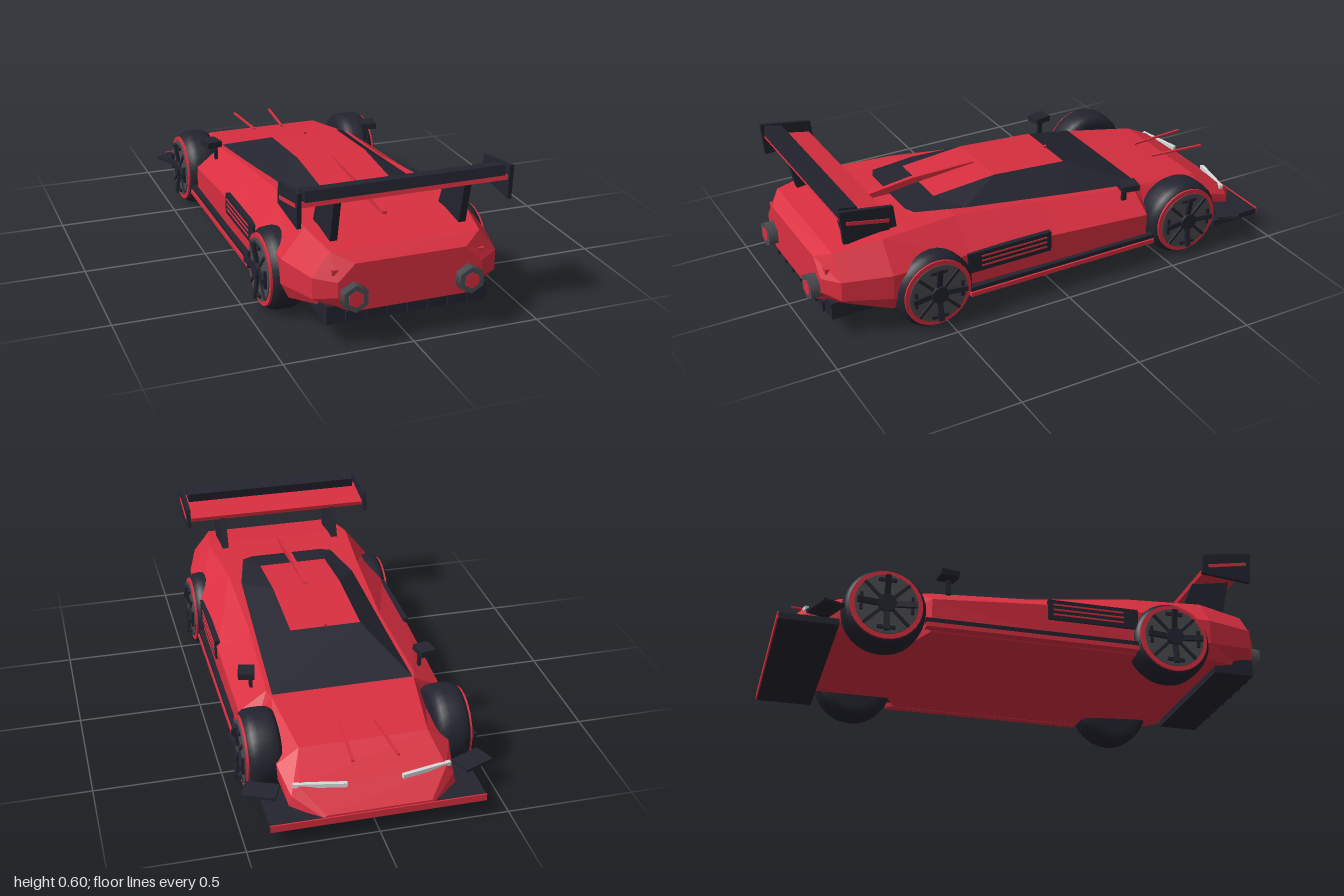
import * as THREE from 'three';

const mat = (name, color, side = THREE.DoubleSide) => {
  const m = new THREE.MeshStandardMaterial({ color, side });
  m.name = name;
  return m;
};

export function createModel() {
  const car = new THREE.Group();
  car.name = 'raceCar';
  const red = mat('red paint', 0xd92f40);
  const black = mat('black trim', 0x23242f);
  const grey = mat('dark grey metal', 0x4b4c50);
  const white = mat('lamp white', 0xd8dadb);

  const add = (name, geo, m, x = 0, y = 0, z = 0, parent = car) => {
    const mesh = new THREE.Mesh(geo, m);
    mesh.name = name;
    mesh.position.set(x, y, z);
    parent.add(mesh);
    return mesh;
  };
  const box = (name, m, w, h, d, x, y, z, parent) =>
    add(name, new THREE.BoxGeometry(w, h, d), m, x, y, z, parent);
  // Faceted surface from triangles of points
  const facets = (tris) => {
    const g = new THREE.BufferGeometry();
    g.setAttribute('position', new THREE.Float32BufferAttribute(tris.flat(2), 3));
    g.computeVertexNormals();
    return g;
  };
  // Plate with a side outline in (z, y), of thickness w along x
  const sidePlate = (name, m, pts, w, x) => {
    const shape = new THREE.Shape(pts.map(([z, y]) => new THREE.Vector2(-z, y)));
    const g = new THREE.ExtrudeGeometry(shape, { depth: w, bevelEnabled: false });
    g.translate(0, 0, -w / 2).rotateY(Math.PI / 2);
    return add(name, g, m, x);
  };

  // Body: lofted half sections, floor edge, lower side, waist, deck edge
  const stations = [
    [0.96, [.22, .14], [.28, .20], [.28, .26], [.215, .325]],
    [0.91, [.28, .14], [.36, .19], [.36, .27], [.29, .36]],
    [0.72, [.38, .11], [.41, .17], [.41, .27], [.32, .385]],
    [0.40, [.39, .09], [.41, .14], [.41, .27], [.29, .383]],
    [0.00, [.39, .09], [.41, .13], [.413, .25], [.28, .335]],
    [-0.42, [.39, .09], [.41, .13], [.41, .22], [.30, .298]],
    [-0.46, [.30, .09], [.32, .13], [.335, .22], [.287, .294]],
    [-0.76, [.30, .09], [.33, .12], [.335, .19], [.25, .252]],
    [-0.90, [.28, .08], [.32, .10], [.31, .14], [.28, .175]],
    [-0.99, [.20, .08], [.21, .085], [.21, .09], [.20, .10]],
  ];
  const rings = stations.map(([z, ...half]) => [
    ...half.map(([x, y]) => [x, y, z]),
    ...half.slice().reverse().map(([x, y]) => [-x, y, z]),
  ]);
  const skin = [];
  const n = 8, last = rings[rings.length - 1];
  for (let i = 0; i < rings.length - 1; i++) {
    const a = rings[i], c = rings[i + 1];
    for (let j = 0; j < n; j++) {
      const k = (j + 1) % n;
      skin.push([a[j], c[j], a[k]], [a[k], c[j], c[k]]);
    }
  }
  for (let j = 1; j < n - 1; j++) {
    skin.push([rings[0][0], rings[0][j], rings[0][j + 1]], [last[0], last[j + 1], last[j]]);
  }
  add('body', facets(skin), red);

  // Cabin: dark glass around a red roof
  const base = [[.283, .299, -.455], [.268, .329, -.13], [.247, .379, .33], [.2, .389, .53], [.155, .389, .55]];
  const roof = [[.145, .41, -.175], [.145, .43, .15], [.145, .405, .42]];
  const flip = ([x, y, z]) => [-x, y, z];
  const quad = (a, b, c, d) => [[a, b, c], [a, c, d]];
  const [b0, b1, b2, b3, b4] = base, [r0, r1, r2] = roof;
  const sideGlass = [
    [b0, r0, b1], ...quad(b1, r0, r1, b2), ...quad(b2, r1, r2, b3), [b3, r2, b4],
  ];
  add('sideGlassLeft', facets(sideGlass), black);
  add('sideGlassRight', facets(sideGlass.map(([a, b, c]) => [flip(a), flip(c), flip(b)])), black);
  add('windscreen', facets(quad(b0, flip(b0), flip(r0), r0)), black);
  add('rearWindow', facets(quad(b4, r2, flip(r2), flip(b4))), black);
  add('roof', facets([...quad(r0, flip(r0), flip(r1), r1), ...quad(r1, flip(r1), flip(r2), r2)]), red);
  sidePlate('dorsalFin', red, [[.17, .425], [.17, .433], [.45, .428], [.71, .395], [.71, .375], [.42, .39]], .018, 0);
  box('roofAerial', red, .012, .015, .012, 0, .412, -.17);

  // Front splitter with a red leading edge
  box('splitter', black, .82, .025, .225, 0, .08, -.882);
  box('splitterEdge', red, .82, .028, .006, 0, .082, -.997);

  // Rear diffuser and its fins
  box('diffuser', black, .63, .07, .165, 0, .125, .855);
  for (let i = -3; i <= 3; i++) box('diffuserFin', black, .008, .045, .012, i * .08, .112, .94);

  // Rear wing
  const tilt = -Math.atan2(.035, .19);
  box('wingPlane', red, .82, .018, .19, 0, .532, .813).rotation.x = tilt;
  box('wingFlap', black, .77, .04, .07, 0, .574, .876).rotation.x = tilt;

  // Wheel: tyre, red rim band, grey disc and raised spokes, facing +x
  const tyreProfile = [[0, -.068], [.12, -.068], [.145, -.062], [.157, -.045], [.16, -.015],
    [.16, .02], [.157, .045], [.145, .062], [.135, .066], [0, .066]].map((p) => new THREE.Vector2(...p));
  const makeWheel = (s, z) => {
    const wheel = new THREE.Group();
    wheel.name = 'wheel';
    wheel.position.set(s * .368, .16, z);
    if (s < 0) wheel.rotation.y = Math.PI;
    add('tyre', new THREE.LatheGeometry(tyreProfile, 32), black, 0, 0, 0, wheel).rotation.z = -Math.PI / 2;
    const disc = (name, r, w, m, x) =>
      (add(name, new THREE.CylinderGeometry(r, r, w, 32), m, x, 0, 0, wheel).rotation.z = -Math.PI / 2);
    disc('rimBand', .14, .012, red, .066);
    disc('rimDisc', .122, .012, grey, .07);
    disc('hub', .035, .03, black, .078);
    for (let i = 0; i < 4; i++) {
      const spoke = new THREE.Group();
      spoke.name = 'spoke';
      spoke.rotation.x = i * Math.PI / 2;
      wheel.add(spoke);
      box('spokeArm', black, .012, .1, .022, .085, .065, 0, spoke).rotation.z = -.16;
      box('spokeTip', black, .014, .012, .07, .08, .098, 0, spoke);
      const brace = box('spokeBrace', black, .01, .1, .012, .077, .05, .05, spoke);
      brace.rotation.x = Math.PI / 4;
    }
    car.add(wheel);
  };

  // Mirrored parts
  for (const s of [1, -1]) {
    makeWheel(s, .55);
    makeWheel(s, -.6);

    sidePlate('wingEndPlate', black, [[.92, .60], [.71, .57], [.70, .485], [.91, .465]], .016, s * .407);
    box('endPlateStripe', red, .004, .014, .17, s * .4165, .533, .813).rotation.x = tilt;
    sidePlate('wingStrut', black, [[.88, .535], [.72, .51], [.665, .385], [.84, .36]], .028, s * .253);

    // Hexagonal exhausts
    const pipe = add('exhaust', new THREE.CylinderGeometry(.053, .053, .05, 6), grey, s * .225, .205, .973);
    pipe.rotation.x = Math.PI / 2;
    const core = add('exhaustCore', new THREE.CylinderGeometry(.032, .032, .006, 6), red, s * .225, .205, .997);
    core.rotation.x = Math.PI / 2;
    box('rearMarker', red, .05, .02, .03, s * .272, .293, .93);

    // Side vent with red louvre lines
    box('sideVent', black, .02, .085, .37, s * .408, .232, .225);
    for (let i = 0; i < 3; i++) box('ventLine', red, .004, .007, .29, s * .4185, .212 + i * .021, .205);

    // Side skirt
    box('skirtTrim', black, .03, .018, .85, s * .415, .122, -.02);
    box('skirt', red, .035, .018, .85, s * .418, .102, -.02);

    box('mirror', black, .065, .025, .075, s * .363, .352, -.353).rotation.y = s * -.2;
    box('mirrorStem', black, .012, .06, .02, s * .345, .31, -.345);

    // Nose canard, headlamp and hood rod
    box('canard', black, .13, .012, .09, s * .41, .13, -.825).rotation.y = s * -.4;
    box('headlamp', white, .2, .016, .016, s * .203, .176, -.902).rotation.y = s * -.2;
    box('hoodRod', red, .01, .007, .25, s * .076, .275, -.797).rotation.y = s * -.08;
  }
  return car;
}
